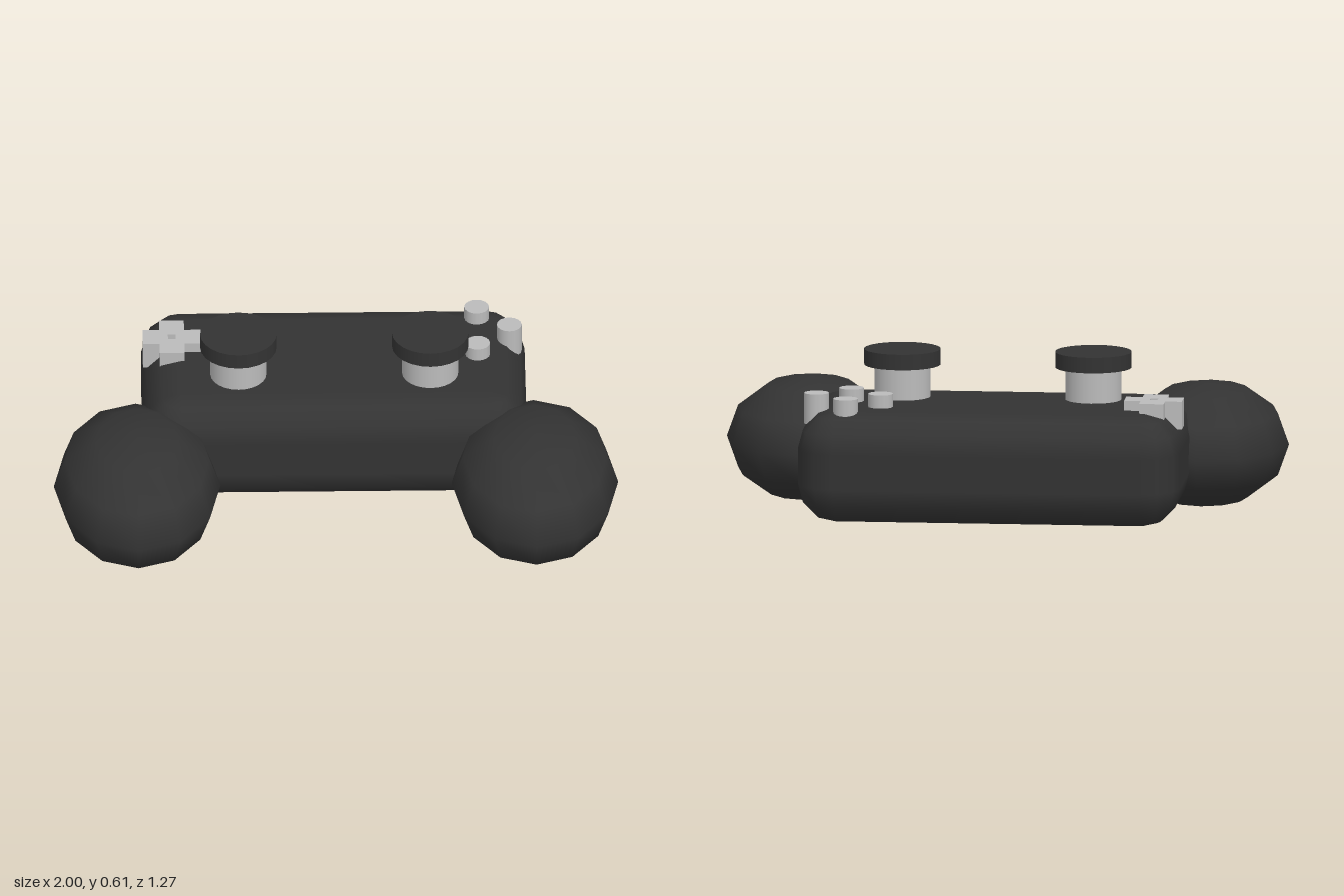
import * as THREE from 'three';

const shell = new THREE.MeshStandardMaterial({ color: 0x333333 });
shell.name = 'charcoalShell';
const metal = new THREE.MeshStandardMaterial({ color: 0xbbbbbb });
metal.name = 'lightGrey';

function addMesh(parent, name, geometry, material, x, y, z) {
  const mesh = new THREE.Mesh(geometry, material);
  mesh.name = name;
  mesh.position.set(x, y, z);
  parent.add(mesh);
  return mesh;
}

// Box with round edges of three facets each: a sphere grid whose octants are
// pulled apart to the box corners, with an extra row closing top and bottom.
function roundedBlock(w, h, d, r) {
  const geo = new THREE.SphereGeometry(1, 16, 9);
  const pos = geo.attributes.position, nor = geo.attributes.normal;
  const step = Math.PI / 6;
  const cx = w / 2 - r, cy = h / 2 - r, cz = d / 2 - r;
  for (let row = 0; row <= 9; row++) {
    const cap = row === 0 || row === 9;
    const upper = row < 5;
    const theta = (upper ? Math.max(row - 1, 0) : Math.min(row - 2, 6)) * step;
    for (let col = 0; col <= 16; col++) {
      const quarter = Math.floor((col % 16) / 4);
      const phi = quarter * Math.PI / 2 + (col % 4) * step;
      const nx = -Math.cos(phi) * Math.sin(theta);
      const ny = Math.cos(theta);
      const nz = Math.sin(phi) * Math.sin(theta);
      const sx = quarter === 0 || quarter === 3 ? -1 : 1;
      const sz = quarter < 2 ? 1 : -1;
      const i = row * 17 + col;
      pos.setXYZ(i,
        cap ? 0 : sx * cx + nx * r,
        (upper ? cy : -cy) + ny * r,
        cap ? 0 : sz * cz + nz * r);
      nor.setXYZ(i, nx, ny, nz);
    }
  }
  return geo;
}

// Plus-shaped pad with a small square hole in the middle
function padGeometry(arm, half, hole, height) {
  const shape = new THREE.Shape([
    [half, arm], [-half, arm], [-half, half], [-arm, half], [-arm, -half], [-half, -half],
    [-half, -arm], [half, -arm], [half, -half], [arm, -half], [arm, half], [half, half],
  ].map(([x, y]) => new THREE.Vector2(x, y)));
  shape.holes.push(new THREE.Path([
    [-hole, -hole], [-hole, hole], [hole, hole], [hole, -hole],
  ].map(([x, y]) => new THREE.Vector2(x, y))));
  const geo = new THREE.ExtrudeGeometry(shape, { depth: height, bevelEnabled: false });
  return geo.rotateX(-Math.PI / 2);
}

export function createModel() {
  const model = new THREE.Group();
  model.name = 'gameController';

  // Main body
  addMesh(model, 'body', roundedBlock(1.36, 0.395, 0.735, 0.135), shell, 0, 0.2425, -0.2675);

  for (const side of [1, -1]) {
    const label = side > 0 ? 'left' : 'right';

    // Egg-shaped grip
    const grip = new THREE.SphereGeometry(1, 12, 6).scale(0.295, 0.222, 0.412);
    addMesh(model, label + 'Grip', grip, shell, side * 0.705, 0.222, 0.223);

    // Thumb stick
    const stick = new THREE.Group();
    stick.name = label + 'Stick';
    stick.position.set(side * 0.34, 0, -0.157);
    addMesh(stick, 'stem', new THREE.CylinderGeometry(0.1, 0.1, 0.17, 24), metal, 0, 0.47, 0);
    addMesh(stick, 'cap', new THREE.CylinderGeometry(0.136, 0.136, 0.056, 24), shell, 0, 0.583, 0);
    model.add(stick);
  }

  // Diamond of four buttons
  const buttons = new THREE.Group();
  buttons.name = 'buttons';
  for (let i = 0; i < 4; i++) {
    const a = i * Math.PI / 2;
    addMesh(buttons, 'button' + (i + 1), new THREE.CylinderGeometry(0.044, 0.044, 0.11, 16), metal,
      0.51 + Math.cos(a) * 0.114, 0.432, -0.386 + Math.sin(a) * 0.114);
  }
  model.add(buttons);

  // Directional pad
  addMesh(model, 'directionPad', padGeometry(0.103, 0.044, 0.014, 0.1), metal, -0.573, 0.375, -0.344);

  return model;
}
